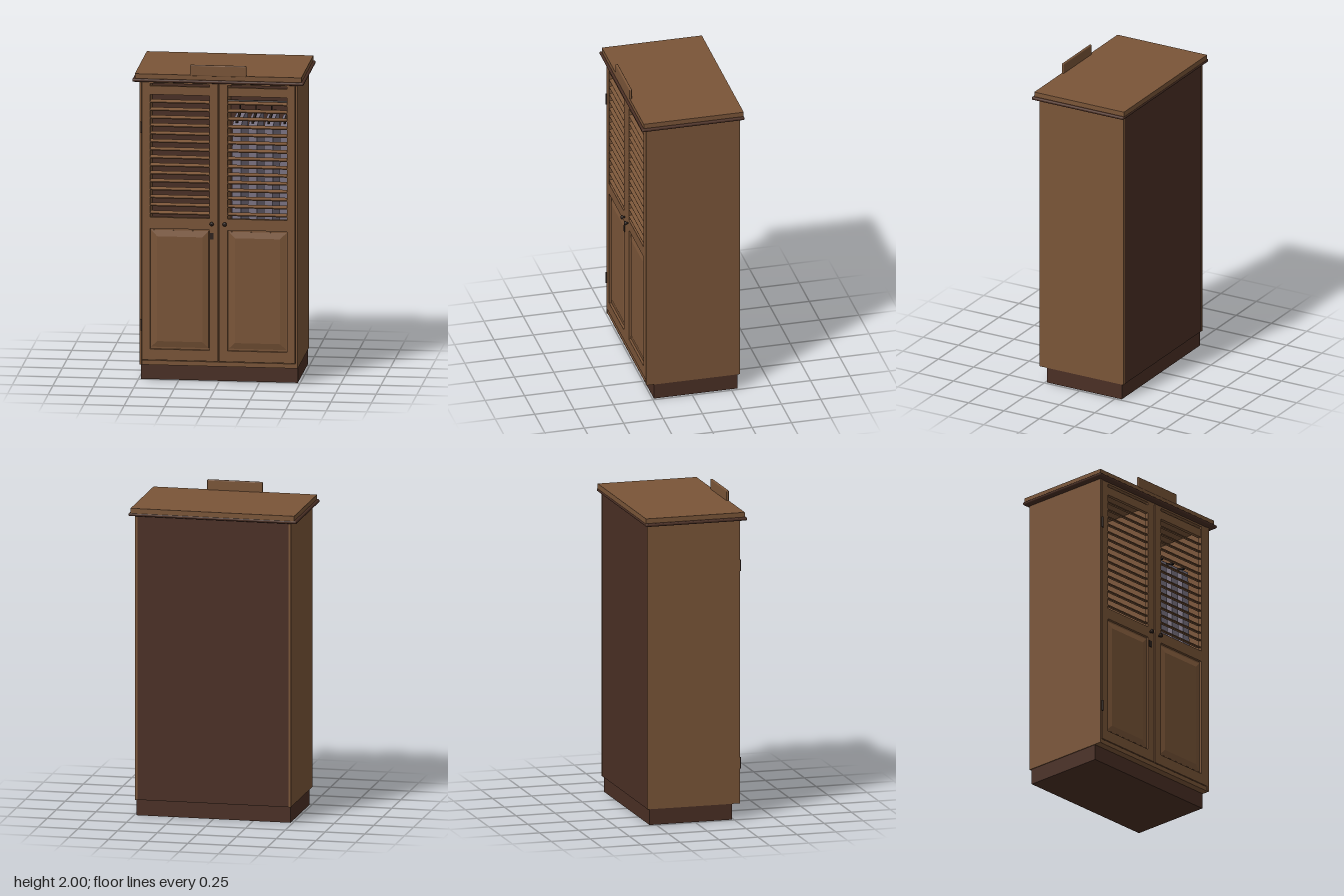
import * as THREE from 'three';
import { RoundedBoxGeometry } from 'three/addons/geometries/RoundedBoxGeometry.js';

const material = (name, color) => {
  const m = new THREE.MeshStandardMaterial({ color });
  m.name = name;
  return m;
};

export function createModel() {
  const wood = material('wood', 0x7a5538);
  const darkWood = material('dark wood', 0x4a2f24);
  const metal = material('dark metal', 0x2c211c);
  const cloth = material('grey cloth', 0x7a7382);
  const model = new THREE.Group();
  model.name = 'wardrobe';

  const add = (parent, name, geometry, mat, x = 0, y = 0, z = 0) => {
    const mesh = new THREE.Mesh(geometry, mat);
    mesh.name = name;
    mesh.position.set(x, y, z);
    parent.add(mesh);
    return mesh;
  };
  // Box given by its lower and upper limits on each axis
  const box = (parent, name, mat, [x0, x1], [y0, y1], [z0, z1]) =>
    add(parent, name, new THREE.BoxGeometry(x1 - x0, y1 - y0, z1 - z0), mat,
      (x0 + x1) / 2, (y0 + y1) / 2, (z0 + z1) / 2);
  const rectangle = (C, x0, x1, y0, y1) => {
    const s = new C();
    s.moveTo(x0, y0);
    s.lineTo(x1, y0);
    s.lineTo(x1, y1);
    s.lineTo(x0, y1);
    s.closePath();
    return s;
  };

  // Carcass
  box(model, 'plinth', darkWood, [-0.485, 0.485], [0, 0.1], [-0.29, 0.24]);
  box(model, 'bottomBoard', wood, [-0.476, 0.476], [0.1, 0.128], [-0.295, 0.286]);
  box(model, 'ceilingBoard', wood, [-0.476, 0.476], [1.875, 1.89], [-0.295, 0.286]);
  box(model, 'backPanel', darkWood, [-0.476, 0.476], [0.1, 1.89], [-0.303, -0.29]);
  box(model, 'partition', wood, [-0.01, 0.01], [0.128, 1.875], [-0.29, 0.25]);
  for (const s of [-1, 1]) {
    const side = box(model, s > 0 ? 'leftSide' : 'rightSide', wood, [-0.0075, 0.0075], [0.1, 1.89], [-0.305, 0.29]);
    side.position.x = s * 0.4825;
  }

  // Cornice and sign board
  add(model, 'corniceMoulding', new RoundedBoxGeometry(1.06, 0.02, 0.65, 3, 0.009), darkWood, 0, 1.896, 0);
  box(model, 'topBoard', wood, [-0.515, 0.515], [1.9, 1.936], [-0.322, 0.312]);
  add(model, 'crestBoard', new RoundedBoxGeometry(0.35, 0.07, 0.016, 3, 0.007), wood, 0, 1.965, 0.306);

  // Doors: framed, louvred above and with a raised panel below
  for (const s of [-1, 1]) {
    const door = new THREE.Group();
    door.name = s > 0 ? 'leftDoor' : 'rightDoor';
    model.add(door);
    const span = (a, b) => (s > 0 ? [a, b] : [-b, -a]);

    const outline = rectangle(THREE.Shape, ...span(0.003, 0.473), 0.132, 1.884);
    outline.holes.push(
      rectangle(THREE.Path, ...span(0.057, 0.423), 0.2, 0.96),
      rectangle(THREE.Path, ...span(0.057, 0.423), 1.03, 1.872));
    add(door, 'doorFrame', new THREE.ExtrudeGeometry(outline, { depth: 0.027, bevelEnabled: false }), wood, 0, 0, 0.262);

    box(door, 'panelBase', wood, span(0.05, 0.43), [0.19, 0.97], [0.264, 0.274]);
    const field = rectangle(THREE.Shape, ...span(0.1, 0.38), 0.25, 0.91);
    add(door, 'raisedPanel', new THREE.ExtrudeGeometry(field, {
      depth: 0.002, bevelSize: 0.038, bevelThickness: 0.01, bevelSegments: 1,
    }), wood, 0, 0, 0.273);

    box(door, 'louvreRail', wood, span(0.057, 0.423), [1.802, 1.856], [0.264, 0.286]);
    for (let i = 0; i < 15; i++) {
      const slat = add(door, 'louvreSlat', new THREE.BoxGeometry(0.366, 0.007, 0.034), wood,
        s * 0.24, 1.058 + i * 0.05, 0.272);
      slat.rotation.x = 0.32;
    }

    // Knob turned on a lathe
    const profile = [[0, 0], [0.006, 0], [0.006, 0.009], [0.012, 0.014], [0.013, 0.021], [0.009, 0.026], [0, 0.027]]
      .map(([r, h]) => new THREE.Vector2(r, h));
    const knob = add(door, 'knob', new THREE.LatheGeometry(profile, 20), metal, s * 0.04, 1.0, 0.288);
    knob.rotation.x = Math.PI / 2;
  }

  // Lock plate and hinges
  box(model, 'lockPlate', metal, [-0.051, -0.03], [0.9, 0.94], [0.286, 0.294]);
  for (const y of [0.352, 1.595])
    add(model, 'hinge', new THREE.CylinderGeometry(0.006, 0.006, 0.07, 12), metal, -0.477, y, 0.294);

  // Rail with hangers and clothes behind the louvres
  const rail = add(model, 'clothesRail', new THREE.CylinderGeometry(0.008, 0.008, 0.464, 12), metal, 0.243, 1.71, 0);
  rail.rotation.z = Math.PI / 2;
  for (let i = 0; i < 4; i++) {
    const x = 0.1 + i * 0.098;
    const hanger = new THREE.Group();
    hanger.name = 'hanger';
    hanger.position.x = x;
    model.add(hanger);
    add(hanger, 'hangerHook', new THREE.CylinderGeometry(0.004, 0.004, 0.07, 8), metal, 0, 1.675, 0);
    for (const s of [-1, 1]) {
      const arm = add(hanger, 'hangerArm', new THREE.BoxGeometry(0.014, 0.012, 0.18), metal, 0, 1.63, s * 0.085);
      arm.rotation.x = s * 0.15;
    }
    // Garment with sloping shoulders
    const cut = new THREE.Shape();
    [[-0.2, 0.65], [0.2, 0.65], [0.18, 1.595], [0.04, 1.625], [-0.04, 1.625], [-0.18, 1.595]]
      .forEach(([a, b], k) => (k ? cut.lineTo(a, b) : cut.moveTo(a, b)));
    const garment = add(hanger, 'garment', new THREE.ExtrudeGeometry(cut, { depth: 0.055, bevelEnabled: false }), cloth, -0.0275, 0, 0);
    garment.rotation.y = Math.PI / 2;
  }
  return model;
}
